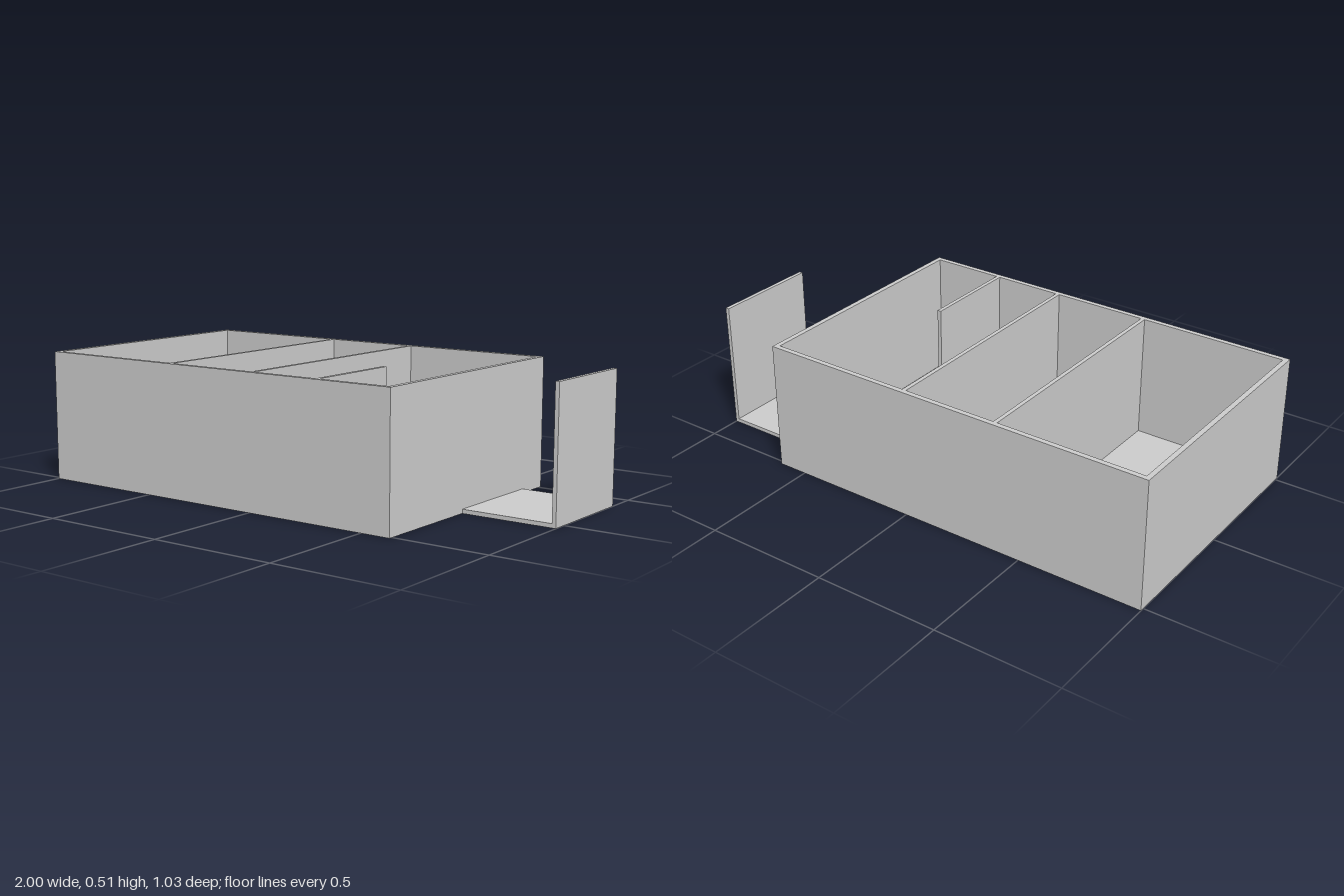
import * as THREE from 'three';

const HEIGHT = 0.513, FLOOR = 0.016, WALL = 0.02, THIN = 0.016;
const X0 = -1, X1 = 0.62, Z = 0.515;

export function createModel() {
  const group = new THREE.Group();
  const material = new THREE.MeshStandardMaterial({ color: 0xcccccc });

  const add = (name, geometry) => {
    const mesh = new THREE.Mesh(geometry, material);
    mesh.name = name;
    group.add(mesh);
  };
  // Box given by its lower and upper limits on each axis
  const addBox = (name, [x0, x1], [y0, y1], [z0, z1]) => {
    const geometry = new THREE.BoxGeometry(x1 - x0, y1 - y0, z1 - z0);
    geometry.translate((x0 + x1) / 2, (y0 + y1) / 2, (z0 + z1) / 2);
    add(name, geometry);
  };
  const rectangle = (Type, inset) => new Type([
    new THREE.Vector2(X0 + inset, -Z + inset),
    new THREE.Vector2(X1 - inset, -Z + inset),
    new THREE.Vector2(X1 - inset, Z - inset),
    new THREE.Vector2(X0 + inset, Z - inset),
  ]);

  // Outer walls: one rectangular ring, open at the top
  const ring = rectangle(THREE.Shape, 0);
  ring.holes.push(rectangle(THREE.Path, WALL));
  const walls = new THREE.ExtrudeGeometry(ring, { depth: HEIGHT, bevelEnabled: false });
  walls.rotateX(-Math.PI / 2);
  add('outerWalls', walls);

  // Floor inside the walls
  const inner = Z - WALL;
  addBox('floor', [X0 + WALL, X1 - WALL], [0, FLOOR], [-inner, inner]);

  // Two full dividers and a short one standing against the front wall
  const dividers = [['leftDivider', 0, -inner], ['rightDivider', -0.395, -inner], ['shortDivider', 0.292, 0.094]];
  for (const [name, x, back] of dividers) {
    addBox(name, [x, x + THIN], [FLOOR, HEIGHT], [back, inner]);
  }

  // Side ledge with an upright panel at its outer end
  const ledgeZ = [-0.374, 0.058];
  addBox('sideLedge', [X1, 1], [0, FLOOR], ledgeZ);
  addBox('sidePanel', [1 - THIN, 1], [FLOOR, HEIGHT], ledgeZ);

  return group;
}
